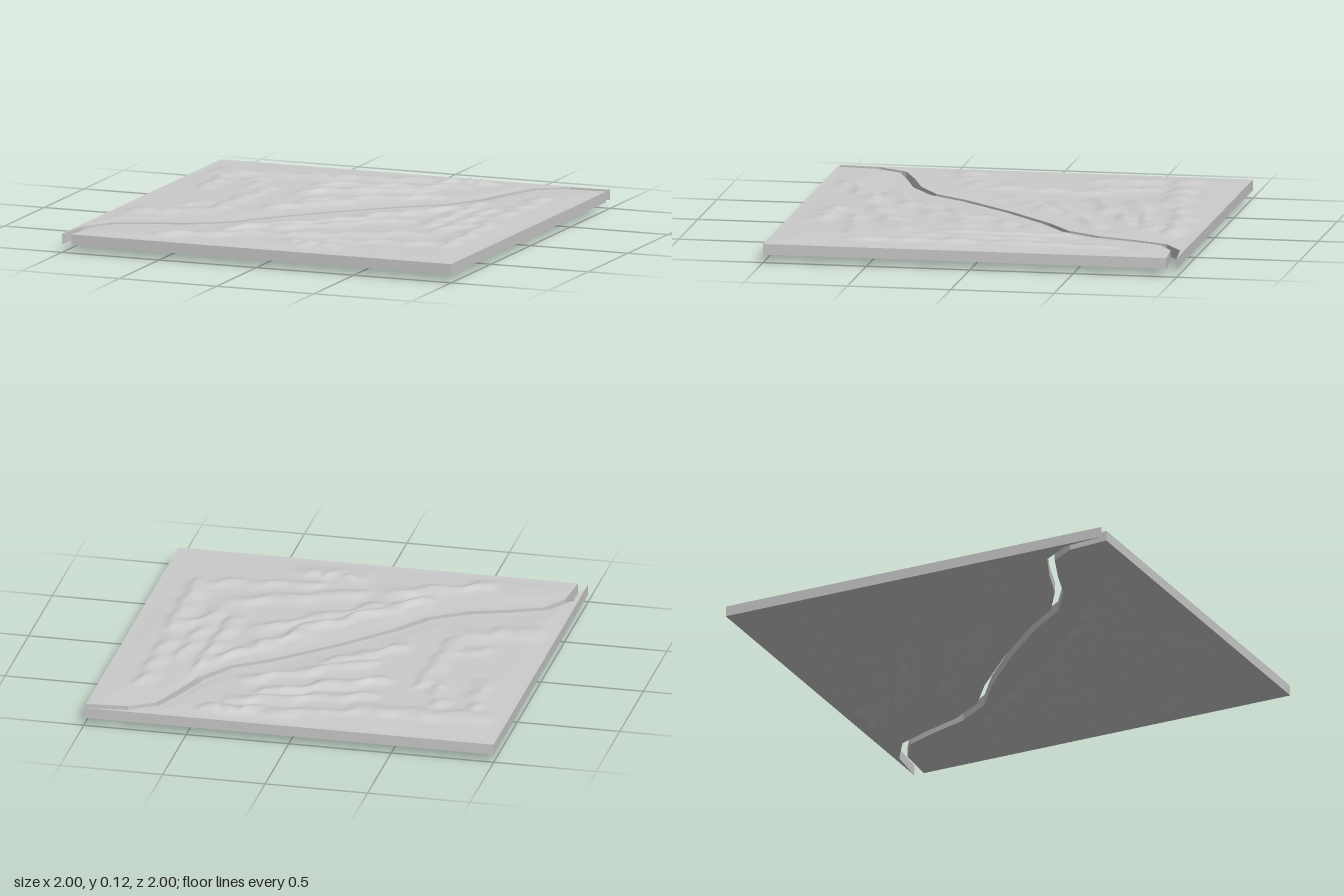
import * as THREE from 'three';

const TOP = 0.085, BOTTOM = 0.034, ROWS = 80;
const material = new THREE.MeshStandardMaterial({ color: 0xcccccc });

// Half of each plate's edge along the channel; the rest mirrors across x = z
const mirrorEdge = (half) => [...half, ...half.slice(0, -1).reverse().map(([x, z]) => [z, x])];
const backEdge = mirrorEdge([[-1, 1], [-0.98, 0.8], [-0.89, 0.655], [-0.715, 0.58],
  [-0.54, 0.52], [-0.373, 0.416], [-0.247, 0.245], [-0.01, -0.01]]);
const frontEdge = mirrorEdge([[-0.95, 1], [-0.935, 0.8], [-0.86, 0.68], [-0.69, 0.612],
  [-0.515, 0.553], [-0.345, 0.44], [-0.22, 0.266], [0.012, 0.012]]);

// Ridge lines of the relief: x0, z0, x1, z1, half width, height
const backRidges = [
  [-0.84, -0.71, -0.3, -0.75, 0.06, 0.016], [-0.3, -0.77, 0.1, -0.86, 0.05, 0.013],
  [0.22, -0.86, 0.42, -0.89, 0.04, 0.018], [-0.81, -0.62, -0.79, -0.3, 0.035, 0.012],
  [-0.63, -0.58, -0.58, -0.35, 0.04, 0.012], [-0.5, -0.4, -0.55, 0.2, 0.035, 0.012],
  [-0.87, 0.35, -0.56, 0.25, 0.06, 0.015], [-0.72, 0.1, -0.55, 0.02, 0.04, 0.01],
  [-0.3, -0.38, 0.2, -0.63, 0.04, 0.018], [-0.3, 0.03, -0.02, -0.22, 0.04, 0.016],
  [-0.2, -0.18, 0.32, -0.5, 0.04, 0.015], [-0.28, -0.58, 0.35, -0.76, 0.04, 0.014]];
const frontRidges = [
  [-0.52, 0.84, -0.1, 0.66, 0.05, 0.016], [-0.28, 0.6, 0.2, 0.15, 0.04, 0.018],
  [-0.1, 0.5, 0.4, 0.1, 0.04, 0.014], [0.2, 0.1, 0.5, -0.28, 0.04, 0.016],
  [0.1, 0.8, 0.35, 0.84, 0.05, 0.016], [0.05, 0.62, 0.6, 0.4, 0.05, 0.014],
  [0.8, -0.65, 0.79, -0.1, 0.035, 0.012], [0.81, 0.05, 0.81, 0.6, 0.04, 0.016],
  [0.58, -0.4, 0.54, 0.2, 0.03, 0.014], [0.68, -0.3, 0.65, 0.3, 0.03, 0.012],
  [0.25, 0.7, 0.75, 0.6, 0.04, 0.012], [0.65, 0.15, 0.82, 0.1, 0.04, 0.014]];

function relief(ridges, x, z, edgeZ, phase) {
  // Rough the ridge lines up with a small warp
  const wx = x + 0.012 * Math.sin(31 * z + phase) + 0.008 * Math.sin(53 * x);
  const wz = z + 0.014 * Math.sin(27 * x + phase) + 0.008 * Math.sin(47 * z);
  let h = 0;
  for (const [x0, z0, x1, z1, w, height] of ridges) {
    const dx = x1 - x0, dz = z1 - z0;
    const t = THREE.MathUtils.clamp(((wx - x0) * dx + (wz - z0) * dz) / (dx * dx + dz * dz), 0, 1);
    const d = Math.hypot(wx - x0 - t * dx, wz - z0 - t * dz) / w;
    h = Math.max(h, height * Math.exp(-d * d) * (1 + 0.25 * Math.sin(t * 17 + phase)));
  }
  const base = 0.004 + 0.002 * Math.sin(9 * x - 6 * z + phase);
  const rim = Math.min(1 - Math.abs(x), 1 - Math.abs(z), 0.7 * Math.abs(z - edgeZ));
  return (h + base) * THREE.MathUtils.smoothstep(rim, 0.02, 0.12);
}

// Split the edge into fine columns while keeping every corner
function subdivide(edge) {
  const out = [edge[0]];
  for (let i = 1; i < edge.length; i++) {
    const [ax, az] = edge[i - 1], [bx, bz] = edge[i];
    const n = Math.max(2, Math.ceil((bx - ax) / 0.018));
    for (let k = 1; k <= n; k++) out.push([ax + (bx - ax) * k / n, az + (bz - az) * k / n]);
  }
  return out;
}

function makeGeometry(positions, index) {
  const g = new THREE.BufferGeometry();
  g.setAttribute('position', new THREE.Float32BufferAttribute(positions, 3));
  g.setIndex(index);
  g.computeVertexNormals();
  return g;
}

// Relief face spanning from the channel edge to the straight side
function face(edge, ridges, isBack, up) {
  const pos = [], index = [], cols = subdivide(edge);
  cols.forEach(([x, ez], i) => {
    for (let j = 0; j <= ROWS; j++) {
      const t = j / ROWS;
      const z = isBack ? -1 + (ez + 1) * t : ez + (1 - ez) * t;
      const h = relief(ridges, x, z, ez, up ? 0 : 2);
      pos.push(x, up ? TOP + h : BOTTOM - 1.4 * h, z);
      if (i === cols.length - 1 || j === ROWS) continue;
      const a = i * (ROWS + 1) + j, b = a + 1, c = a + ROWS + 1, d = c + 1;
      if (up) index.push(a, b, c, b, d, c);
      else index.push(a, c, b, b, c, d);
    }
  });
  return makeGeometry(pos, index);
}

// Flat vertical sides around a plate
function walls(outline) {
  const pos = [], index = [];
  outline.forEach(([ax, az], i) => {
    const [bx, bz] = outline[(i + 1) % outline.length], k = i * 4;
    pos.push(ax, BOTTOM, az, bx, BOTTOM, bz, bx, TOP, bz, ax, TOP, az);
    index.push(k, k + 1, k + 2, k, k + 2, k + 3);
  });
  return makeGeometry(pos, index);
}

function plate(name, edge, ridges, isBack) {
  const group = new THREE.Group();
  group.name = name;
  const add = (part, geometry) => {
    const mesh = new THREE.Mesh(geometry, material);
    mesh.name = part;
    group.add(mesh);
  };
  const outline = isBack ? [...edge, [-1, -1]] : [...edge, [1, 1]].reverse();
  add('topRelief', face(edge, ridges, isBack, true));
  add('bottomRelief', face(edge, ridges, isBack, false));
  add('sides', walls(outline));
  return group;
}

export function createModel() {
  const model = new THREE.Group();
  model.name = 'splitReliefSlab';
  model.add(plate('backPlate', backEdge, backRidges, true));
  model.add(plate('frontPlate', frontEdge, frontRidges, false));
  // Rest the lowest bump on the ground
  model.position.y = -new THREE.Box3().setFromObject(model).min.y;
  return model;
}
